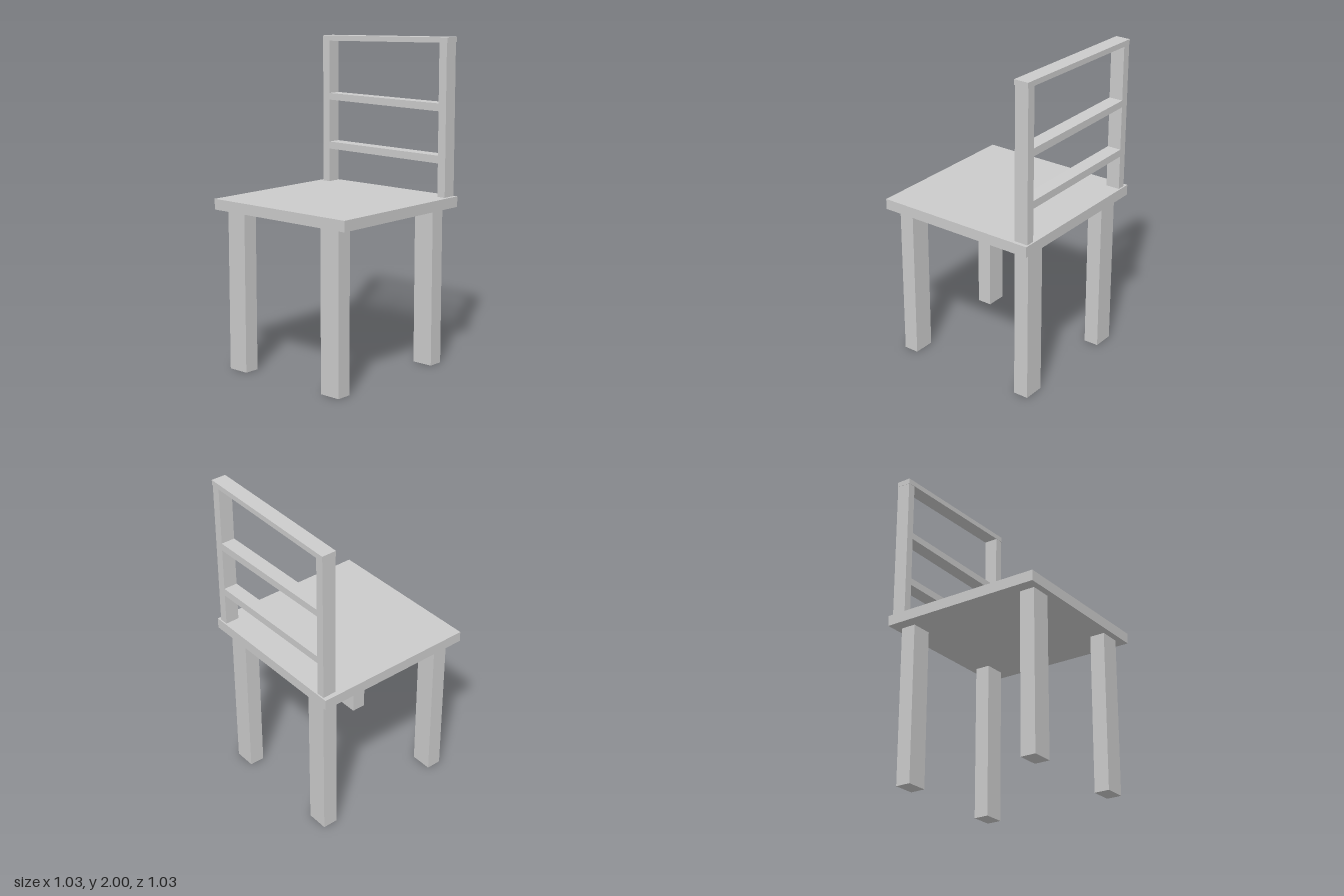
import * as THREE from 'three';

const material = new THREE.MeshStandardMaterial({ color: 0xcccccc, flatShading: true });

export function createModel() {
  const chair = new THREE.Group();
  chair.name = 'chair';

  const add = (name, geometry) => {
    const mesh = new THREE.Mesh(geometry, material);
    mesh.name = name;
    chair.add(mesh);
  };

  // Box given by its extents on each axis
  const box = (name, [x0, x1], [y0, y1], [z0, z1]) => {
    const geometry = new THREE.BoxGeometry(x1 - x0, y1 - y0, z1 - z0);
    add(name, geometry.translate((x0 + x1) / 2, (y0 + y1) / 2, (z0 + z1) / 2));
  };

  // Slightly tilted bar: [bottom, top] heights at its two ends
  const bar = (name, [x0, x1], [b0, t0], [b1, t1], [z0, z1]) => {
    const shape = new THREE.Shape([
      new THREE.Vector2(x0, b0), new THREE.Vector2(x1, b1),
      new THREE.Vector2(x1, t1), new THREE.Vector2(x0, t0),
    ]);
    const geometry = new THREE.ExtrudeGeometry(shape, { depth: z1 - z0, bevelEnabled: false });
    add(name, geometry.translate(0, 0, z0));
  };

  // Seat
  box('seat', [-0.515, 0.515], [0.98, 1.045], [-0.515, 0.515]);

  // Four legs
  for (const [side, x] of [['left', [0.302, 0.437]], ['right', [-0.44, -0.305]]]) {
    box(side + 'FrontLeg', x, [0, 0.98], [0.38, 0.475]);
    box(side + 'BackLeg', x, [0, 0.98], [-0.471, -0.376]);
  }

  // Back posts
  const depth = [-0.506, -0.418];
  box('leftPost', [0.438, 0.493], [1.045, 1.98], depth);
  box('rightPost', [-0.486, -0.434], [1.045, 1.96], depth);

  // Top rail and two slats
  bar('topRail', [-0.487, 0.498], [1.942, 1.975], [1.968, 2.0], [-0.508, -0.416]);
  bar('upperSlat', [-0.436, 0.44], [1.571, 1.613], [1.561, 1.608], depth);
  bar('lowerSlat', [-0.436, 0.44], [1.257, 1.302], [1.248, 1.295], depth);

  return chair;
}
